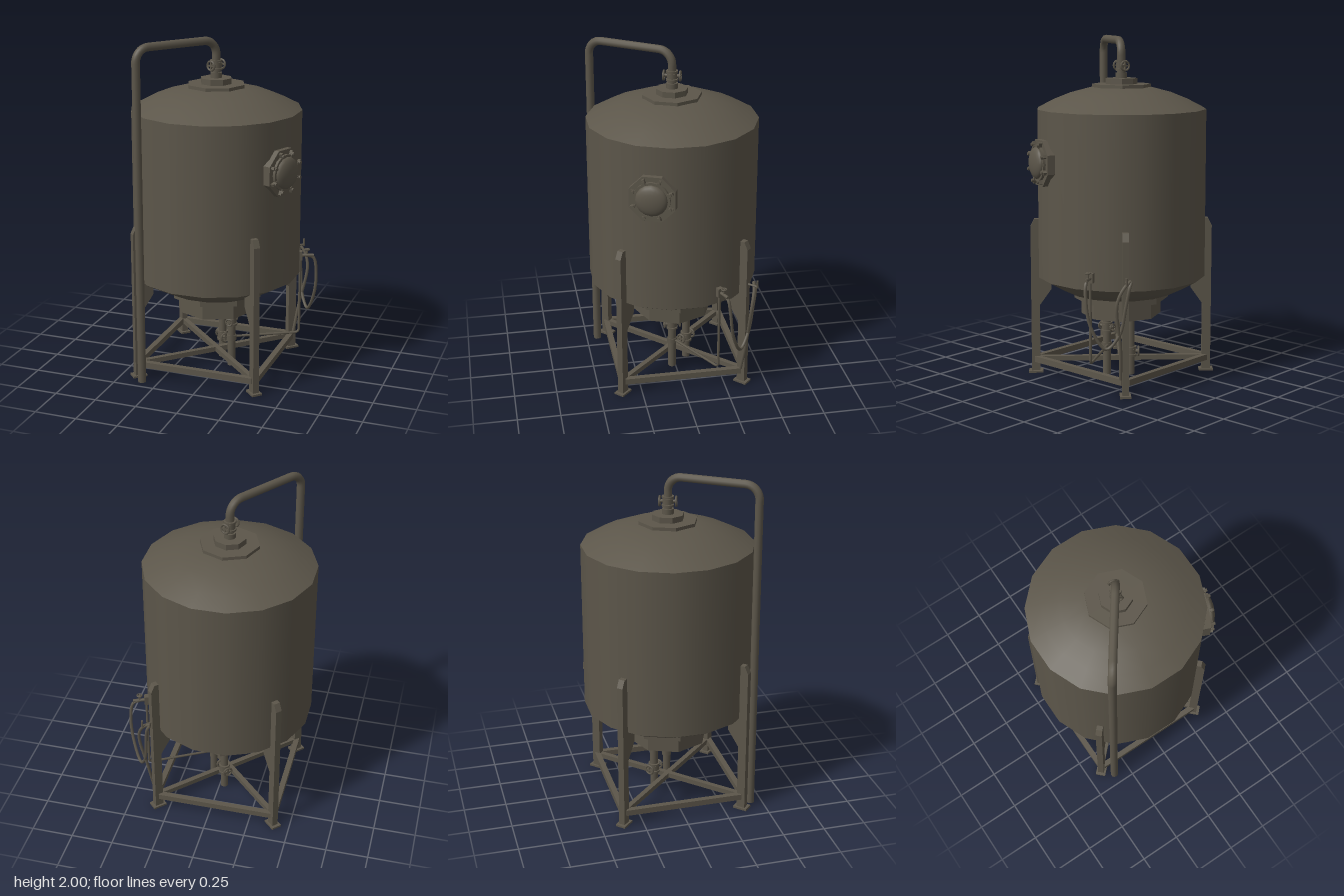
import * as THREE from 'three';

const steel = new THREE.MeshStandardMaterial({ color: 0x5c564a });
steel.name = 'dark steel';
const CX = -0.037; // tank axis
const V = (x, y, z) => new THREE.Vector3(x, y, z);

function add(parent, name, geo, x = 0, y = 0, z = 0) {
  const m = new THREE.Mesh(geo, steel);
  m.name = name;
  m.position.set(x, y, z);
  parent.add(m);
  return m;
}

function group(parent, name, x, y, z, turn = 0) {
  const g = new THREE.Group();
  g.name = name;
  g.position.set(x, y, z);
  g.rotation.y = turn;
  parent.add(g);
  return g;
}

const cyl = (r, h, n = 12, r2 = r) => new THREE.CylinderGeometry(r, r2, h, n);

// cylinder lying along local z
function rod(parent, name, r, len, n, x, y, z) {
  return add(parent, name, cyl(r, len, n).rotateX(Math.PI / 2), x, y, z);
}

// prism with eight flat sides, corners on the axes
function octagon(parent, name, r, y0, y1) {
  add(parent, name, cyl(r, y1 - y0, 8).toNonIndexed(), CX, (y0 + y1) / 2, 0).geometry.computeVertexNormals();
}

// 16-sided smooth shell, a flat facing each axis
function shell(parent, name, pts) {
  const p = pts.map(([r, y]) => new THREE.Vector2(r, y));
  add(parent, name, new THREE.LatheGeometry(p, 16, Math.PI / 16), CX, 0, 0);
}

// pipe through corner points with rounded bends
function bentPipe(parent, name, pts, r, bend, segs, sides) {
  const path = new THREE.CurvePath();
  let from = pts[0];
  for (let i = 1; i < pts.length - 1; i++) {
    const p = pts[i];
    const a = p.clone().add(pts[i - 1].clone().sub(p).setLength(bend));
    const b = p.clone().add(pts[i + 1].clone().sub(p).setLength(bend));
    path.add(new THREE.LineCurve3(from, a));
    path.add(new THREE.CubicBezierCurve3(a, a.clone().lerp(p, 0.55), b.clone().lerp(p, 0.55), b));
    from = b;
  }
  path.add(new THREE.LineCurve3(from, pts[pts.length - 1]));
  add(parent, name, new THREE.TubeGeometry(path, segs, r, sides, false));
}

// handwheel facing local z
function handwheel(parent, r, x, y, z) {
  const g = group(parent, 'handwheel', x, y, z);
  add(g, 'wheelRim', new THREE.TorusGeometry(r * 0.8, r * 0.2, 6, 12));
  add(g, 'wheelSpoke', new THREE.BoxGeometry(r * 1.6, r * 0.25, r * 0.25));
  add(g, 'wheelSpoke', new THREE.BoxGeometry(r * 0.25, r * 1.6, r * 0.25));
}

// pipe valve with a handwheel on both ends of its cross stem
function valve(parent, x, y, z, turn, wheel = 0.033) {
  const g = group(parent, 'valve', x, y, z, turn);
  add(g, 'valveBody', cyl(0.031, 0.03));
  for (const s of [-1, 1]) {
    add(g, 'valveCollar', cyl(0.035, 0.012), 0, s * 0.024, 0);
    handwheel(g, wheel, 0, 0, s * 0.047);
  }
  rod(g, 'valveStem', 0.01, 0.1, 8, 0, 0, 0);
}

function extrude(pts, width) {
  const s = new THREE.Shape(pts.map(([x, y]) => new THREE.Vector2(x, y)));
  return new THREE.ExtrudeGeometry(s, { depth: width, bevelEnabled: false }).translate(0, 0, -width / 2);
}

export function createModel() {
  const model = new THREE.Group();
  model.name = 'storageTank';

  // vessel
  shell(model, 'tankBottom', [[0.001, 0.47], [0.2, 0.48], [0.31, 0.5], [0.4, 0.545], [0.497, 0.6]]);
  shell(model, 'tankWall', [[0.497, 0.6], [0.497, 1.585]]);
  shell(model, 'tankDome', [[0.497, 1.585], [0.4, 1.635], [0.3, 1.675], [0.18, 1.707], [0.001, 1.72]]);

  // stepped flanges above and below
  octagon(model, 'topFlange', 0.172, 1.7, 1.727);
  octagon(model, 'topCollar', 0.093, 1.727, 1.76);
  octagon(model, 'bottomFlange', 0.28, 0.455, 0.505);
  octagon(model, 'bottomSump', 0.237, 0.36, 0.455);
  octagon(model, 'bottomCap', 0.153, 0.342, 0.36);

  // overhead pipe running down the outside
  bentPipe(model, 'overheadPipe', [V(CX, 1.74, 0), V(CX, 1.976, 0), V(-0.347, 1.976, 0.432), V(-0.347, 0.002, 0.432)],
    0.024, 0.08, 160, 10);
  add(model, 'pipeEnd', cyl(0.024, 0.01, 10), -0.347, 0.005, 0.432);
  add(model, 'pipeSocket', cyl(0.034, 0.03), CX, 1.775, 0);
  valve(model, CX, 1.832, 0, -0.35);

  // drain pipes under the tank
  add(model, 'drainPipe', cyl(0.024, 0.35), -0.028, 0.175, -0.085);
  valve(model, -0.028, 0.14, -0.085, 0.7);
  add(model, 'drainPipe', cyl(0.024, 0.35), 0.067, 0.175, 0.02);
  valve(model, 0.067, 0.29, 0.02, 0, 0.026);

  // legs, feet, gussets and braces
  for (let i = 0; i < 4; i++) {
    const leg = group(model, 'leg', CX, 0, 0, Math.PI / 4 + i * Math.PI / 2);
    add(leg, 'legPost', extrude([[0.486, 0.01], [0.537, 0.01], [0.537, 0.89], [0.515, 0.935], [0.486, 0.935]], 0.037));
    add(leg, 'legGusset', extrude([[0.488, 0.41], [0.488, 0.6], [0.417, 0.58], [0.417, 0.51]], 0.037));
    add(leg, 'footPlate', new THREE.BoxGeometry(0.085, 0.012, 0.062), 0.512, 0.006, 0);
    const side = group(model, 'brace', CX, 0.083, 0, i * Math.PI / 2);
    add(side, 'sideBrace', new THREE.BoxGeometry(0.7, 0.035, 0.033), 0, 0, 0.367);
  }
  for (const s of [-1, 1]) {
    add(model, 'crossBrace', new THREE.BoxGeometry(0.99, 0.03, 0.03), CX, 0.083, 0).rotation.y = s * Math.PI / 4;
  }

  // domed manway with clamps
  const door = group(model, 'manway', 0.414, 1.29, 0.187, Math.PI * 3 / 8);
  const ring = add(door, 'manwayFlange', cyl(0.142, 0.05, 8).rotateX(Math.PI / 2).rotateZ(Math.PI / 8).toNonIndexed(), 0, 0, 0.005);
  ring.geometry.computeVertexNormals();
  rod(door, 'manwayRim', 0.106, 0.02, 16, 0, 0, 0.035);
  const dome = new THREE.SphereGeometry(0.092, 16, 6, 0, Math.PI * 2, 0, Math.PI / 2).rotateX(Math.PI / 2).scale(1, 1, 0.38);
  add(door, 'manwayDome', dome, 0, 0, 0.044);
  for (let i = 0; i < 8; i++) {
    const a = i * Math.PI / 4 + Math.PI / 8;
    const c = add(door, 'manwayClamp', new THREE.BoxGeometry(0.034, 0.016, 0.02), Math.cos(a) * 0.112, Math.sin(a) * 0.112, 0.04);
    c.rotation.z = a;
    rod(door, 'clampNut', 0.01, 0.02, 6, Math.cos(a) * 0.112, Math.sin(a) * 0.112, 0.05);
  }

  // sampling tap on the lower wall
  const tap = group(model, 'sampleTap', 0.414, 0.675, -0.187, Math.PI * 5 / 8);
  add(tap, 'tapPlate', new THREE.BoxGeometry(0.034, 0.055, 0.03), 0, 0, 0.012);
  rod(tap, 'tapSpout', 0.01, 0.09, 8, 0, 0, 0.05);
  add(tap, 'tapStem', cyl(0.006, 0.035, 8), 0, 0.018, 0.055);
  const wheel = group(tap, 'tapWheel', 0, 0.036, 0.055);
  wheel.rotation.x = Math.PI / 2;
  handwheel(wheel, 0.019, 0, 0, 0);

  // thin sample line from the drain up to the tap
  bentPipe(model, 'sampleLine', [V(0.067, 0.18, 0.01), V(0.428, 0.18, -0.19), V(0.428, 0.67, -0.19)], 0.008, 0.025, 70, 6);
  add(model, 'sampleFitting', cyl(0.03, 0.03, 8), 0.067, 0.18, 0.02);

  // hose looped over a hook on the back leg
  const hose = new THREE.CatmullRomCurve3([
    V(0.46, 0.675, -0.207), V(0.5, 0.66, -0.225), V(0.515, 0.58, -0.237), V(0.5, 0.42, -0.26), V(0.44, 0.292, -0.32),
    V(0.39, 0.37, -0.375), V(0.37, 0.53, -0.405), V(0.355, 0.64, -0.42), V(0.335, 0.675, -0.415), V(0.385, 0.64, -0.405),
    V(0.42, 0.55, -0.385), V(0.375, 0.3, -0.37), V(0.345, 0.1, -0.345),
  ]);
  add(model, 'hose', new THREE.TubeGeometry(hose, 90, 0.0095, 7, false));
  const hook = group(model, 'hoseHook', 0.36, 0.665, -0.4, Math.PI * 3 / 4);
  rod(hook, 'hookArm', 0.007, 0.07, 6, 0, 0, 0);
  add(hook, 'hookTip', cyl(0.007, 0.045, 6), 0, 0.015, 0.033);

  return model;
}
